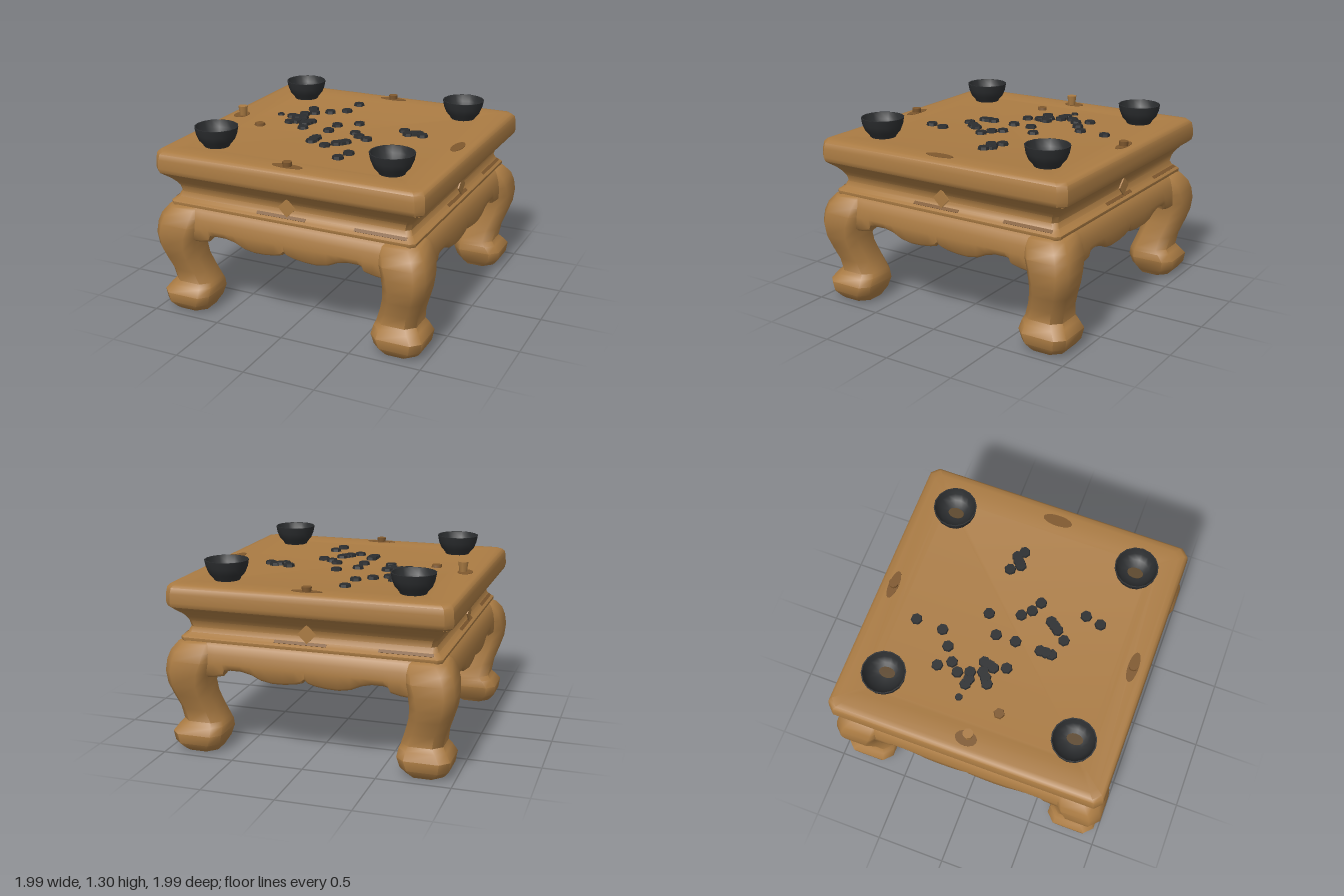
import * as THREE from 'three';
import { toCreasedNormals } from 'three/addons/utils/BufferGeometryUtils.js';

const makeMaterial = (name, color) => {
  const m = new THREE.MeshStandardMaterial({ color });
  m.name = name;
  return m;
};
const wood = makeMaterial('wood', 0xaa7b43);
const stain = makeMaterial('darkStain', 0x7f582e);
const deepStain = makeMaterial('deepStain', 0x5c472c);
const black = makeMaterial('blackLacquer', 0x2b2d2f);

const FIELD = 1.163; // height of the sunken playing field
const RIM = 1.173; // height of the raised rim

// Skins a list of equal-length cross-sections; closed rings are capped at both ends.
function loft(rings, closed, crease = 0.7) {
  const n = rings[0].length, pos = rings.flat(2), idx = [];
  for (let i = 0; i < rings.length - 1; i++) {
    for (let j = 0; j < (closed ? n : n - 1); j++) {
      const a = i * n + j, b = i * n + (j + 1) % n;
      idx.push(a, b, b + n, a, b + n, a + n);
    }
  }
  if (closed) {
    const last = (rings.length - 1) * n;
    for (let j = 1; j < n - 1; j++) {
      idx.push(0, j + 1, j);
      idx.push(last, last + j, last + j + 1);
    }
  }
  const g = new THREE.BufferGeometry();
  g.setAttribute('position', new THREE.Float32BufferAttribute(pos, 3));
  g.setIndex(idx);
  return toCreasedNormals(g, crease);
}

// Square ring with chamfered corners, lying at height y.
function squareRing(y, h, c, centre = 0) {
  return [[c - h, h], [h - c, h], [h, h - c], [h, c - h], [h - c, -h], [c - h, -h], [-h, c - h], [-h, h - c]]
    .map(([x, z]) => [x + centre, y, z + centre]);
}

function add(parent, name, geometry, material, x = 0, y = 0, z = 0) {
  const m = new THREE.Mesh(geometry, material);
  m.name = name;
  m.position.set(x, y, z);
  parent.add(m);
  return m;
}

// Cabriole corner leg: [y, inner edge, outer edge].
function legGeometry() {
  const profile = [
    [0, 0.67, 0.91], [0.02, 0.66, 0.93], [0.06, 0.635, 0.96], [0.13, 0.615, 0.97],
    [0.18, 0.62, 0.935], [0.21, 0.63, 0.91], [0.3, 0.66, 0.925], [0.4, 0.69, 0.96],
    [0.48, 0.7, 0.985], [0.57, 0.69, 0.995], [0.65, 0.66, 0.985], [0.71, 0.65, 0.965],
    [0.765, 0.64, 0.925], [0.78, 0.65, 0.9],
  ];
  return loft(profile.map(([y, a, b]) => squareRing(y, (b - a) / 2, 0.06, (a + b) / 2)), true, 0.9);
}

// Scalloped apron, spanning between two legs on the +z side.
function apronGeometry() {
  const half = [[0, 0.585], [0.02, 0.567], [0.07, 0.553], [0.15, 0.543], [0.23, 0.541], [0.31, 0.555],
    [0.38, 0.587], [0.45, 0.603], [0.53, 0.603], [0.56, 0.595], [0.575, 0.563], [0.64, 0.548], [0.72, 0.54]];
  const edge = [...half.slice(1).reverse().map(([x, y]) => [-x, y]), ...half];
  return loft(edge.map(([x, b]) => [
    [x, 0.785, 0.89], [x, 0.765, 0.915], [x, 0.71, 0.935], [x, 0.65, 0.945], [x, b + 0.02, 0.94],
    [x, b, 0.915], [x, b + 0.012, 0.85], [x, b / 2 + 0.33, 0.78], [x, 0.68, 0.71],
  ]), false, 0.9);
}

// Open bowl with a wall thickness.
function bowlGeometry() {
  const p = [[0, 0], [0.088, 0], [0.095, 0.015], [0.123, 0.046], [0.141, 0.09], [0.15, 0.138], [0.142, 0.138],
    [0.128, 0.09], [0.1, 0.05], [0.06, 0.032], [0, 0.03]];
  return toCreasedNormals(new THREE.LatheGeometry(p.map(([x, y]) => new THREE.Vector2(x, y)), 16), 0.6);
}

export function createModel() {
  const model = new THREE.Group();
  model.name = 'lowTable';

  // Thick top with a softly rounded edge and a shallow sunken field
  const slab = [[0.995, 0.9, 0.04], [1.0, 0.945, 0.05], [1.02, 0.968, 0.05], [1.05, 0.975, 0.05], [1.11, 0.972, 0.05],
    [1.15, 0.965, 0.05], [1.168, 0.948, 0.05], [RIM, 0.91, 0.04], [RIM, 0.8, 0.02], [FIELD, 0.755, 0.02]];
  add(model, 'tableTop', loft(slab.map((s) => squareRing(...s)), true), wood);

  // Concave waist with a ledge at its foot
  const waist = [[0.76, 0.89], [0.785, 0.9], [0.8, 0.9], [0.812, 0.886], [0.832, 0.862], [0.865, 0.847],
    [0.91, 0.858], [0.94, 0.877], [0.97, 0.903], [0.988, 0.925], [1.002, 0.94]];
  add(model, 'waist', loft(waist.map(([y, h]) => squareRing(y, h, 0.03)), true), wood);

  // Underside panel
  add(model, 'undersidePanel', new THREE.BoxGeometry(1.46, 0.06, 1.46), wood, 0, 0.713, 0);

  // Four matching sides: leg, apron, thin diamond plate and ledge stains
  const leg = legGeometry(), apron = apronGeometry();
  const diamond = new THREE.BoxGeometry(0.09, 0.09, 0.01).rotateZ(Math.PI / 4);
  const ledgeStain = new THREE.BoxGeometry(0.36, 0.004, 0.024);
  for (let i = 0; i < 4; i++) {
    const side = new THREE.Group();
    side.name = 'side' + (i + 1);
    side.rotation.y = i * Math.PI / 2;
    add(side, 'leg', leg, wood);
    add(side, 'apron', apron, wood);
    add(side, 'diamondOrnament', diamond, wood, 0, 0.89, 0.882);
    for (const x of [-0.05, 0.66]) {
      add(side, 'ledgeStain', ledgeStain, stain, x, 0.822, 0.875).rotation.x = 0.7;
    }
    model.add(side);
  }

  // Corner bowls with a stain in the bottom of each
  const bowl = bowlGeometry();
  const spot = new THREE.CylinderGeometry(1, 1, 0.004, 18);
  for (const x of [-0.65, 0.645]) {
    for (const z of [-0.663, 0.663]) {
      add(model, 'bowl', bowl, black, x, FIELD, z);
      add(model, 'bowlStain', spot, deepStain, x < 0 ? -0.615 : 0.65, FIELD + 0.036, z).scale.set(0.038, 1, 0.056);
    }
  }

  // Oval stains on the rim: x, z, half width, half depth
  for (const [x, z, rx, rz] of [[0, -0.872, 0.105, 0.035], [0, 0.865, 0.11, 0.037], [0.855, 0.025, 0.04, 0.105],
    [-0.85, -0.01, 0.052, 0.075]]) {
    add(model, 'rimStain', spot, stain, x, RIM + 0.001, z).scale.set(rx, 1, rz);
  }

  // Pegs, small cup and loose wooden piece
  for (const z of [-0.872, 0.865]) {
    add(model, 'peg', new THREE.CylinderGeometry(0.033, 0.03, 0.036, 10), stain, 0, 1.188, z);
  }
  add(model, 'smallCup', new THREE.CylinderGeometry(0.036, 0.026, 0.075, 8), wood, -0.832, 1.208, 0);
  add(model, 'woodPiece', new THREE.CylinderGeometry(0.036, 0.04, 0.024, 6), stain, -0.615, 1.17, 0.135);

  // Scattered playing stones, some clustered
  const stones = [[-0.18, -0.63], [-0.19, -0.435], [-0.29, -0.357], [-0.44, -0.375], [-0.385, -0.29], [-0.44, -0.23],
    [0.03, -0.18], [-0.1, -0.08], [-0.1, 0.06], [-0.3, 0.07], [-0.45, -0.015], [-0.33, -0.015], [-0.31, -0.085],
    [-0.38, -0.07], [-0.41, -0.15], [-0.5, -0.15], [-0.46, -0.14], [-0.41, -0.04], [-0.32, -0.045], [0.39, -0.16],
    [0.44, -0.1], [0.5, -0.145], [0.545, -0.11], [0.47, -0.125], [0.095, 0.03], [0.15, 0.09], [0.225, 0.128],
    [0.12, 0.24], [0.1, 0.27], [0.075, 0.3], [0.02, 0.365], [-0.105, 0.24], [-0.105, 0.28], [-0.105, 0.32],
    [0.24, 0.45], [0.215, 0.56]];
  const stone = toCreasedNormals(new THREE.CylinderGeometry(0.037, 0.042, 0.022, 7), 0.4);
  stones.forEach(([x, z], i) => {
    add(model, 'stone', stone, black, x, FIELD + 0.008 + (i % 3) * 0.001, z).rotation.y = i * 1.3;
  });
  add(model, 'smallStone', stone, black, -0.6, FIELD + 0.006, -0.158).scale.setScalar(0.65);

  return model;
}
